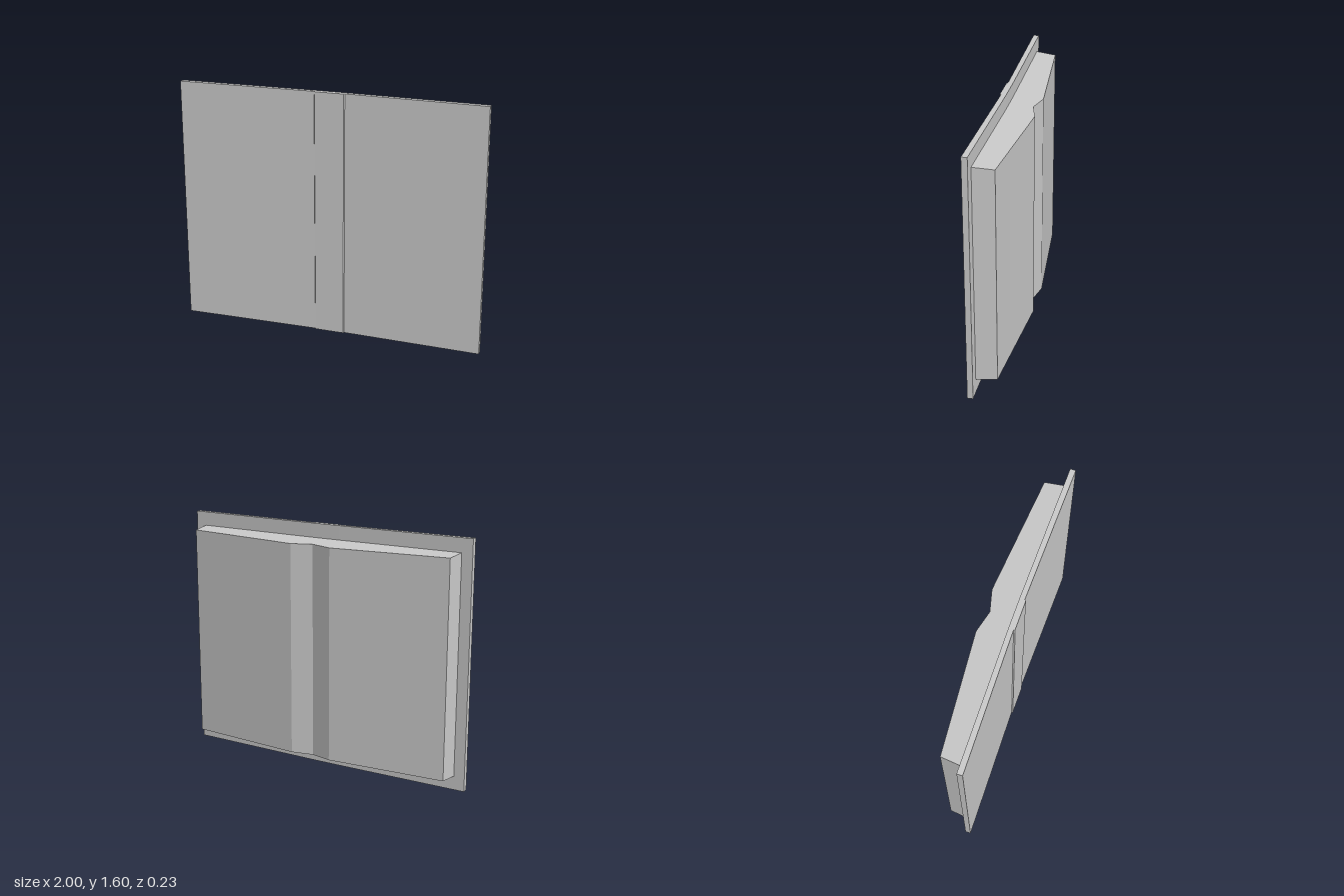
import * as THREE from 'three';

const HEIGHT = 1.6;

// Extrudes a mirrored cross-section upwards; points are [x, z] for the +x half,
// running from the front centre round to the back centre.
function extrudeSection(half, height) {
  const points = half.map(([x, z]) => new THREE.Vector2(x, -z));
  const mirrored = half
    .filter(([x]) => x > 0)
    .reverse()
    .map(([x, z]) => new THREE.Vector2(-x, -z));
  const shape = new THREE.Shape([...points, ...mirrored]);
  const geometry = new THREE.ExtrudeGeometry(shape, { depth: height, bevelEnabled: false });
  return geometry.rotateX(-Math.PI / 2);
}

export function createModel() {
  const model = new THREE.Group();
  model.name = 'openBook';
  const material = new THREE.MeshStandardMaterial({ color: 0xcccccc, flatShading: true });

  const add = (name, geometry) => {
    const mesh = new THREE.Mesh(geometry, material);
    mesh.name = name;
    model.add(mesh);
  };

  // Two slightly tilted cover boards joined by a raised spine strip
  add('cover', extrudeSection([
    [0, 0.108], [0.095, 0.108], [0.1, 0.1], [1, 0.117],
    [1, 0.081], [0.1, 0.068], [0, 0.068],
  ], HEIGHT));

  // Page block, with a valley between the two halves
  const pages = extrudeSection([
    [0, 0.085], [0.93, 0.085], [0.915, -0.051], [0.14, -0.117], [0, -0.081],
  ], HEIGHT);

  // Taper the top and bottom of the pages towards the back
  const position = pages.attributes.position;
  for (let i = 0; i < position.count; i++) {
    const inset = 0.09 + (0.085 - position.getZ(i)) * 0.08;
    position.setY(i, position.getY(i) > HEIGHT / 2 ? HEIGHT - inset : inset);
  }
  pages.computeVertexNormals();
  add('pages', pages);

  return model;
}
